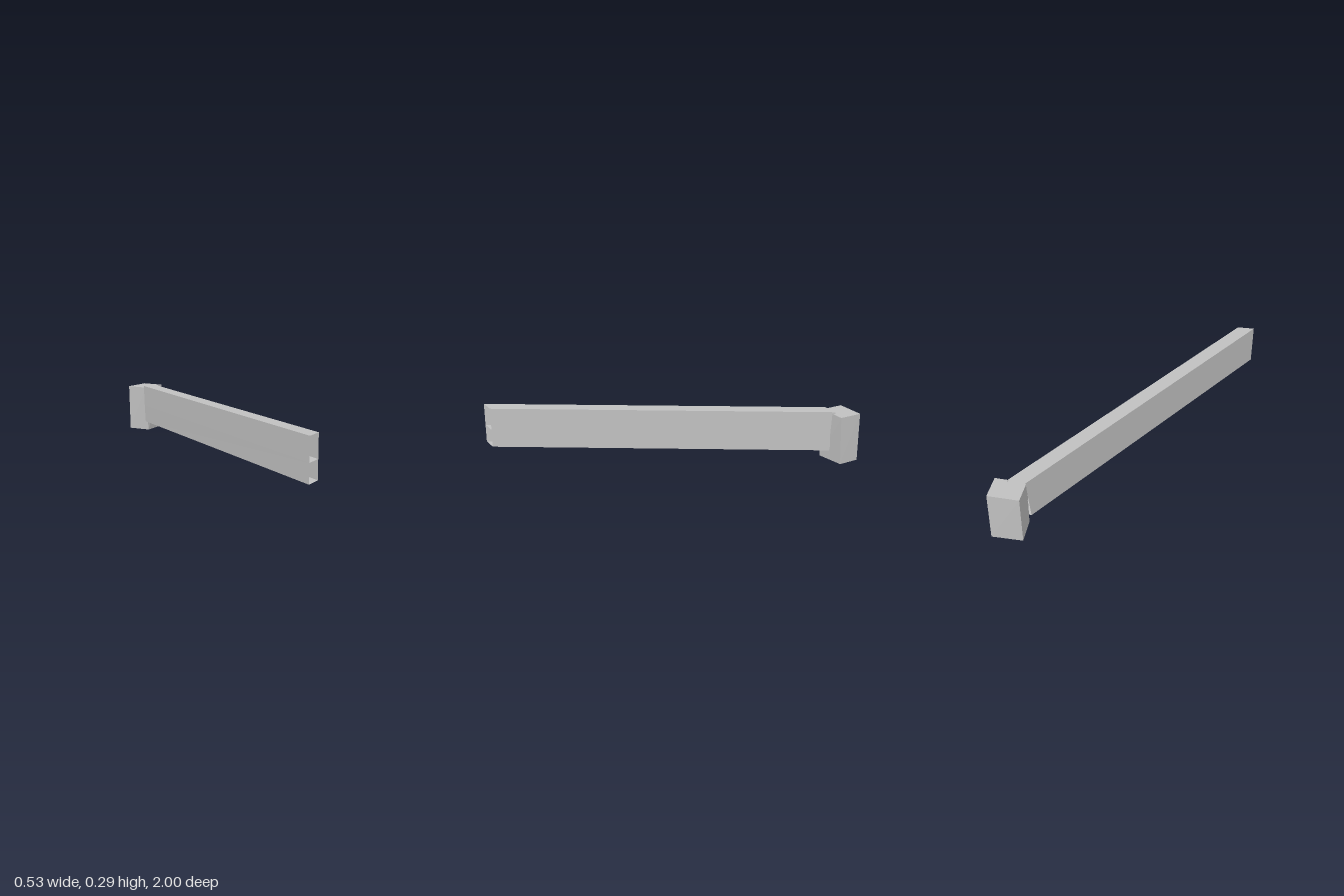
import * as THREE from 'three';

const grey = new THREE.MeshStandardMaterial({ color: 0xc0c0c0, side: THREE.DoubleSide });
grey.name = 'plain grey';

// Flat-shaded mesh from four-cornered faces, corners counter-clockwise from outside
function quadMesh(name, quads) {
  const positions = quads.flatMap(([a, b, c, d]) => [a, b, c, a, c, d].flat());
  const geometry = new THREE.BufferGeometry();
  geometry.setAttribute('position', new THREE.Float32BufferAttribute(positions, 3));
  geometry.computeVertexNormals();
  const mesh = new THREE.Mesh(geometry, grey);
  mesh.name = name;
  return mesh;
}

export function createModel() {
  const model = new THREE.Group();
  model.name = 'beamWithEndBlock';

  // Beam levels: each is front -x, front +x, back +x, back -x
  const level = (yFront, yBack, backX, backZ) => [
    [-0.267, yFront, 1.0],
    [-0.178, yFront, 0.967],
    [0.193 + backX, yBack, -0.848 + backZ],
    [0.103 + backX, yBack, -0.822 + backZ],
  ];
  const floor = level(0.065, 0.055, 0, 0);
  const middle = level(0.164, 0.154, 0.001, -0.01);
  const roof = level(0.287, 0.277, 0.003, -0.02);

  // Hollow beam of thin sheets, open at its ends, with a shelf along the middle
  const beam = new THREE.Group();
  beam.name = 'hollowBeam';
  beam.add(quadMesh('beamRoof', [roof]));
  beam.add(quadMesh('beamShelf', [middle]));
  beam.add(quadMesh('beamFloor', [[...floor].reverse()]));
  for (const [name, lo, hi] of [['lower', floor, middle], ['upper', middle, roof]]) {
    beam.add(quadMesh(name + 'LeftWall', [[lo[1], lo[2], hi[2], hi[1]]]));
    beam.add(quadMesh(name + 'RightWall', [[lo[3], lo[0], hi[0], hi[3]]]));
  }
  model.add(beam);

  // Slightly leaning end block
  const bottom = [[0.122, 0, -0.82], [0.265, 0, -0.888], [0.222, 0, -1], [0.07, 0, -0.945]];
  const top = [[0.11, 0.268, -0.826], [0.265, 0.268, -0.876], [0.22, 0.268, -1], [0.066, 0.268, -0.949]];
  const sides = bottom.map((p, i) => {
    const j = (i + 1) % 4;
    return [p, bottom[j], top[j], top[i]];
  });
  model.add(quadMesh('endBlock', [top, [...bottom].reverse(), ...sides]));

  return model;
}
